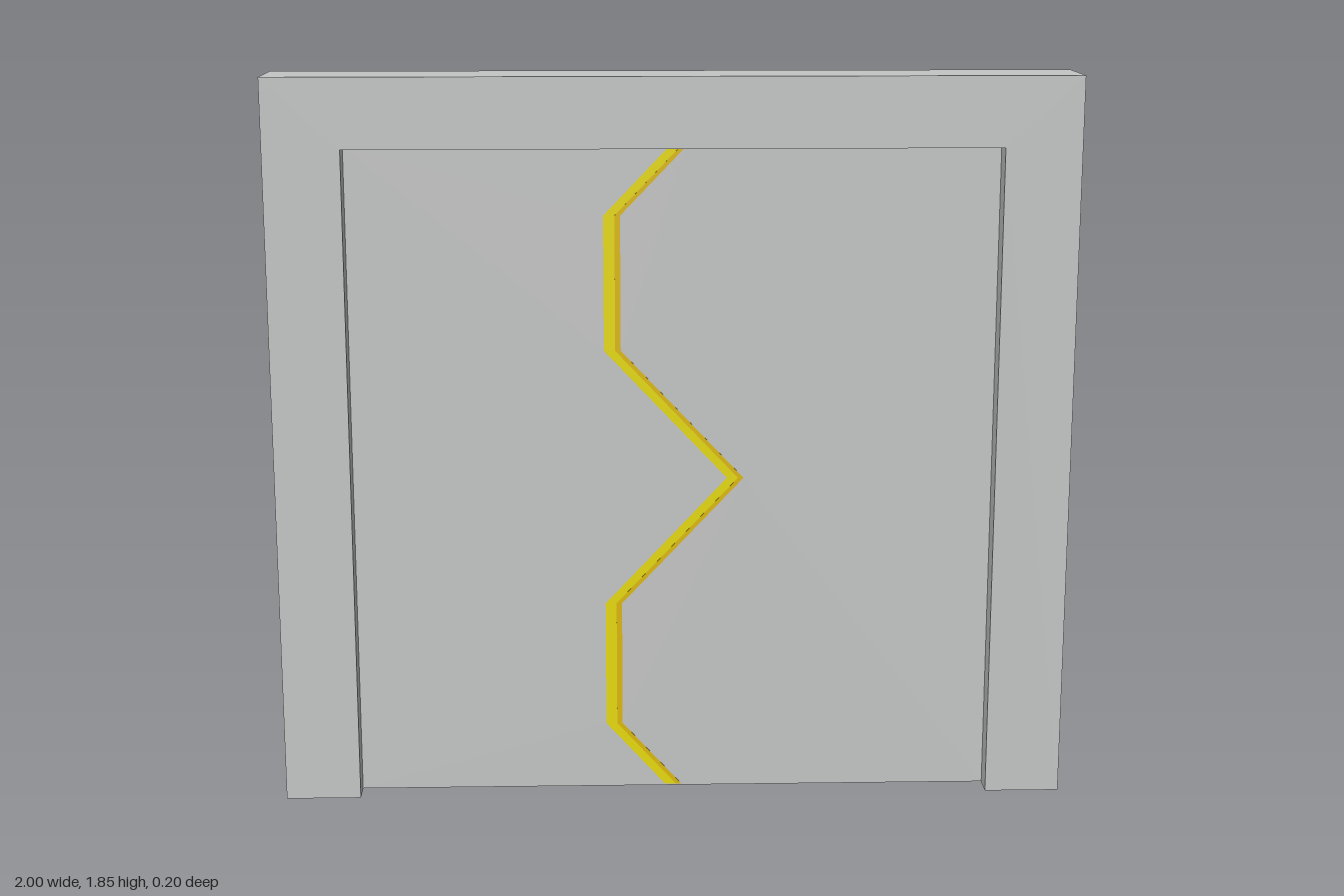
import * as THREE from 'three';

const mat = (name, color) => {
  const m = new THREE.MeshStandardMaterial({ color });
  m.name = name;
  return m;
};

// Zigzag seam between the two door leaves: centre points from floor to lintel
const SEAM = [[0, 0.005], [-0.153, 0.175], [-0.153, 0.5], [0.157, 0.83],
  [-0.153, 1.16], [-0.153, 1.5], [0.01, 1.67]];
const HALF = 0.021, DOOR_X = 0.81, DOOR_Y = 1.67, BASE_Y = 0.005;
const FRONT_Z = 0.04, CORE_Z = -0.05, BACK_Z = -0.09;

const poly = (pts) => new THREE.Shape(pts.map(([x, y]) => new THREE.Vector2(x, y)));
const rect = (x0, y0, x1, y1) => poly([[x0, y0], [x1, y0], [x1, y1], [x0, y1]]);
const seamEdge = (dx) => SEAM.map(([x, y]) => [x + dx, y]);
const seamBand = (d0, d1) => poly([...seamEdge(d1), ...seamEdge(d0).reverse()]);

function capsule(x0, x1, y, r) {
  const s = new THREE.Shape();
  s.absarc(x1 - r, y, r, -Math.PI / 2, Math.PI / 2, false);
  s.absarc(x0 + r, y, r, Math.PI / 2, Math.PI * 1.5, false);
  s.closePath();
  return s;
}

// Outline of one leaf; side +1 is the model's left leaf
const leafShape = (side) =>
  poly([...seamEdge(side * HALF), [side * DOOR_X, DOOR_Y], [side * DOOR_X, BASE_Y]]);

// Shallow rounded hollow lying along x, open towards the back
function hollowGeometry(x0, x1, y, r) {
  const h = (x1 - x0) / 2 - r, pts = [];
  for (const end of [1, -1]) {
    for (let i = 0; i <= 8; i++) {
      const a = Math.PI / 2 * (end > 0 ? 1 - i / 8 : -i / 8);
      pts.push(new THREE.Vector2(r * Math.cos(a), end * h + r * Math.sin(a)));
    }
  }
  const g = new THREE.LatheGeometry(pts, 16, -Math.PI / 2, Math.PI);
  g.rotateZ(Math.PI / 2);
  g.scale(1, 1, 0.6);
  g.translate((x0 + x1) / 2, y, BACK_Z);
  return g;
}

export function createModel() {
  const group = new THREE.Group();
  group.name = 'slidingDoor';
  const grey = mat('grey metal', 0xc4c6c5);
  const yellow = mat('warning yellow', 0xe6da0a);
  const amber = mat('amber edge', 0xdcb80a);
  const glass = mat('dark glass', 0x233434);

  const add = (name, geometry, material) => {
    const m = new THREE.Mesh(geometry, material);
    m.name = name;
    group.add(m);
  };
  const slab = (name, shape, z0, z1, material) => {
    const g = new THREE.ExtrudeGeometry(shape, { depth: z1 - z0, bevelEnabled: false, curveSegments: 10 });
    g.translate(0, 0, z0);
    add(name, g, material);
  };

  // Surrounding frame
  slab('frame', poly([[-1, 0], [-DOOR_X, 0], [-DOOR_X, DOOR_Y], [DOOR_X, DOOR_Y],
    [DOOR_X, 0], [1, 0], [1, 1.845], [-1, 1.845]]), -0.1, 0.1, grey);

  // Door leaves: solid core plus a back skin with the recesses cut out
  const win = [0.438, 1.328, 0.578, 1.575];
  const slotR = 0.026, slotY = 0.1;
  const slots = { 1: [0.068, 0.78], [-1]: [-0.78, -0.143] };
  for (const side of [1, -1]) {
    const label = side > 0 ? 'left' : 'right';
    slab(label + 'LeafCore', leafShape(side), CORE_Z, FRONT_Z, grey);
    const skin = leafShape(side);
    const [x0, x1] = slots[side];
    skin.holes.push(capsule(x0, x1, slotY, slotR));
    if (side > 0) {
      skin.holes.push(rect(...win));
      // Triangular hand recesses
      for (const y of [0.335, 1.335]) {
        skin.holes.push(poly([[-0.104, y - 0.138], [0.03, y], [-0.104, y + 0.138]]));
      }
    }
    slab(label + 'LeafBackSkin', skin, BACK_Z, CORE_Z, grey);
    add(label + 'LeafHollow', hollowGeometry(x0, x1, slotY, slotR), grey);
  }

  // Grey strip under both leaves
  slab('bottomRail', rect(-DOOR_X, BASE_Y - 0.003, DOOR_X, BASE_Y), BACK_Z, FRONT_Z, grey);

  // Yellow zigzag seam, flush with the leaves, with an amber edge on its front
  slab('seam', seamBand(-HALF, HALF), BACK_Z, FRONT_Z, yellow);
  slab('seamEdge', seamBand(0.007, HALF), FRONT_Z, FRONT_Z + 0.001, amber);

  // Window lining and pane on the back
  const lining = rect(...win), t = 0.007;
  lining.holes.push(rect(win[0] + t, win[1] + t, win[2] - t, win[3] - t));
  slab('windowLining', lining, BACK_Z - 0.001, CORE_Z, yellow);
  slab('windowPane', rect(...win), CORE_Z - 0.012, CORE_Z - 0.004, glass);

  return group;
}
